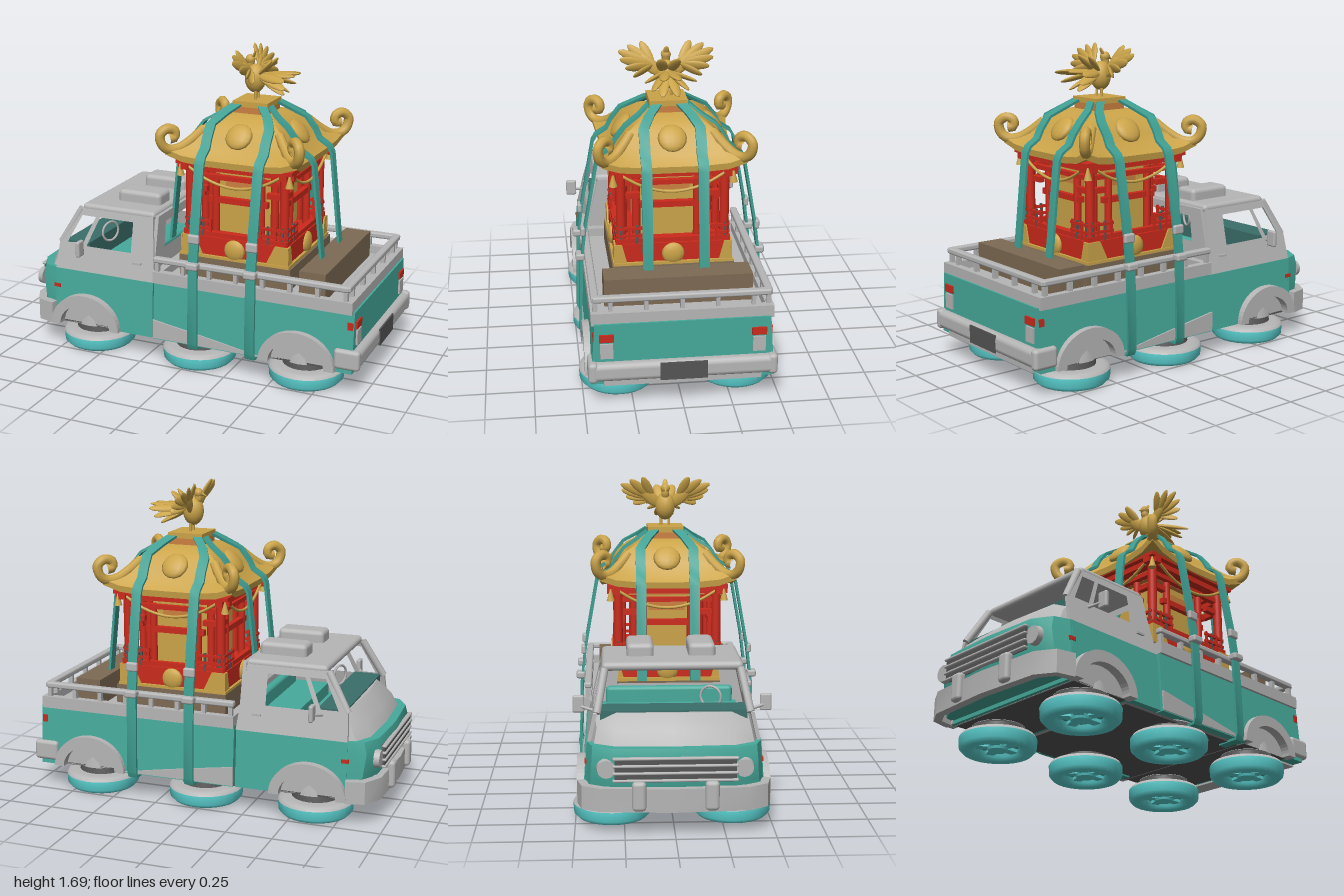
import * as THREE from 'three';
import { toCreasedNormals } from 'three/addons/utils/BufferGeometryUtils.js';
import { RoundedBoxGeometry } from 'three/addons/geometries/RoundedBoxGeometry.js';

const mat = (name, color) => Object.assign(new THREE.MeshStandardMaterial({ color }), { name });
const V = (x, y, z) => new THREE.Vector3(x, y, z);

export function createModel() {
  const gray = mat('bare metal', 0xb6b6b6), teal = mat('teal paint', 0x46aa9b), strapTeal = mat('strap teal', 0x3f9f92);
  const cyan = mat('cyan glow', 0x5fd8d8), gold = mat('gold', 0xcba449), red = mat('red lacquer', 0xcc2a1c);
  const brown = mat('brown wood', 0x7d6a53), dark = mat('dark metal', 0x555555), orange = mat('copper', 0xcc8040);
  const interior = mat('dark teal interior', 0x3b6f6a);
  const root = new THREE.Group();

  const group = (name, parent = root) => { const g = new THREE.Group(); g.name = name; parent.add(g); return g; };
  const add = (parent, name, geo, m, x = 0, y = 0, z = 0) => {
    const mesh = new THREE.Mesh(geo, m); mesh.name = name; mesh.position.set(x, y, z); parent.add(mesh); return mesh;
  };
  const box = (p, name, m, w, h, d, x, y, z) => add(p, name, new THREE.BoxGeometry(w, h, d), m, x, y, z);
  const rbox = (p, name, m, w, h, d, x, y, z, r = 0.02) => add(p, name, new RoundedBoxGeometry(w, h, d, 2, r), m, x, y, z);
  const cyl = (p, name, m, r0, r1, h, x, y, z) => add(p, name, new THREE.CylinderGeometry(r0, r1, h, 24), m, x, y, z);
  const tube = (p, name, m, pts, r, n = 20) => add(p, name, new THREE.TubeGeometry(new THREE.CatmullRomCurve3(pts), n, r, 8), m);
  // Aligns a geometry's y axis with the line from a to b
  const along = (p, name, m, geo, a, b) => {
    const mesh = add(p, name, geo, m);
    mesh.position.copy(a).add(b).multiplyScalar(0.5);
    mesh.quaternion.setFromUnitVectors(V(0, 1, 0), b.clone().sub(a).normalize());
    return mesh;
  };
  const bar = (p, name, m, a, b, r) => along(p, name, m, new THREE.CylinderGeometry(r, r, a.distanceTo(b), 10), a, b);
  const feather = (p, name, a, b, w) =>
    along(p, name, gold, new THREE.SphereGeometry(1, 10, 8).scale(w * 0.4, a.distanceTo(b) / 2, w), a, b);
  // Skin over equal-length closed rings, with end caps
  const loft = (rings, crease = 0.6) => {
    const n = rings[0].length, pts = rings.flat(), idx = [];
    for (let i = 0; i + 1 < rings.length; i++) for (let j = 0; j < n; j++) {
      const a = i * n + j, b = i * n + (j + 1) % n;
      idx.push(a, b, a + n, b, b + n, a + n);
    }
    [0, rings.length - 1].forEach((r, top) => {
      const c = V(0, 0, 0); rings[r].forEach(q => c.addScaledVector(q, 1 / n)); pts.push(c);
      for (let j = 0; j < n; j++) {
        const a = r * n + j, b = r * n + (j + 1) % n;
        idx.push(pts.length - 1, top ? a : b, top ? b : a);
      }
    });
    const g = new THREE.BufferGeometry().setFromPoints(pts); g.setIndex(idx);
    return toCreasedNormals(g, crease);
  };
  // Flat band swept along a path; w is the half-width vector, t the thickness
  const ribbon = (path, w, t) => loft(path.map((p, i) => {
    const T = path[Math.min(i + 1, path.length - 1)].clone().sub(path[Math.max(i - 1, 0)]);
    const N = T.cross(w).normalize().multiplyScalar(t / 2);
    return [[1, 1], [1, -1], [-1, -1], [-1, 1]].map(([a, b]) => p.clone().addScaledVector(N, a).addScaledVector(w, b));
  }));
  const poly = pts => new THREE.Shape(pts.map(([x, y]) => new THREE.Vector2(x, y)));
  const bend = (geo, f) => {
    const p = geo.attributes.position;
    for (let i = 0; i < p.count; i++) p.setXYZ(i, ...f(p.getX(i), p.getY(i), p.getZ(i)));
    geo.computeVertexNormals(); return geo;
  };
  const extrude = (shape, depth) => new THREE.ExtrudeGeometry(shape, { depth, bevelEnabled: false, curveSegments: 12 });

  // Lower body with wheel arches
  const truck = group('truck');
  const lower = (name, x0, x1, y1, ax, w) => {
    const s = new THREE.Shape(); s.moveTo(x0, 0.15); s.lineTo(ax - 0.18, 0.15);
    s.absellipse(ax, 0.15, 0.18, 0.16, Math.PI, 0, true);
    s.lineTo(x1, 0.15); s.lineTo(x1, y1); s.lineTo(x0, y1);
    add(truck, name, bend(extrude(s, 2), (x, y, z) => [x, y, (z - 1) * (w - (y - 0.15) * 0.07)]), teal);
  };
  lower('cabLowerBody', -0.8, -0.195, 0.46, -0.6, 0.46);
  lower('bedBody', -0.185, 0.95, 0.48, 0.65, 0.467);
  box(truck, 'doorGap', dark, 0.012, 0.28, 0.86, -0.19, 0.31, 0);
  box(truck, 'midUnderside', dark, 0.85, 0.02, 0.84, 0.02, 0.147, 0);
  box(truck, 'rearValance', gray, 0.11, 0.04, 0.8, 0.9, 0.16, 0);
  const noseRing = (y, xf, xb, w) => [[xb, -w], [xf + 0.07, -w * 0.93], [xf + 0.015, -w * 0.7], [xf, 0],
    [xf + 0.015, w * 0.7], [xf + 0.07, w * 0.93], [xb, w]].map(([x, z]) => V(x, y, z));
  add(truck, 'nose', loft([noseRing(0.17, -0.92, -0.79, 0.458), noseRing(0.28, -0.95, -0.79, 0.451),
    noseRing(0.4, -0.965, -0.79, 0.443), noseRing(0.46, -0.95, -0.79, 0.438)]), teal);
  add(truck, 'hood', loft([noseRing(0.46, -0.905, -0.7, 0.43), noseRing(0.53, -0.87, -0.7, 0.415), noseRing(0.6, -0.79, -0.7, 0.4)]), gray);

  // Grille
  box(truck, 'grille', dark, 0.02, 0.12, 0.6, -0.955, 0.36, 0);
  for (let i = 0; i < 4; i++) rbox(truck, 'grilleSlat', gray, 0.025, 0.014, 0.62, -0.962, 0.305 + i * 0.037, 0, 0.006);

  // Bumpers
  add(truck, 'frontBumper', ribbon([[-0.8, -0.465], [-0.89, -0.445], [-0.94, -0.36], [-0.96, 0], [-0.94, 0.36], [-0.89, 0.445], [-0.8, 0.465]]
    .map(([x, z]) => V(x, 0.205, z)), V(0, 0.06, 0), 0.045), gray);
  rbox(truck, 'rearBumper', gray, 0.13, 0.1, 0.94, 0.925, 0.225, 0, 0.03);
  box(truck, 'rearBumperStep', dark, 0.008, 0.095, 0.24, 0.99, 0.225, 0);

  for (const s of [-1, 1]) {
    rbox(truck, 'bumperGuard', gray, 0.05, 0.15, 0.07, -0.975, 0.23, s * 0.18);
    rbox(truck, 'bumperEnd', gray, 0.14, 0.11, 0.05, 0.92, 0.225, s * 0.455);
    const lamp = cyl(truck, 'headlamp', gray, 0.045, 0.05, 0.03, -0.94, 0.36, s * 0.34); lamp.rotation.z = Math.PI / 2;
    box(truck, 'frontMarker', red, 0.04, 0.02, 0.012, -0.79, 0.36, s * 0.443);
    box(truck, 'tailLamp', red, 0.05, 0.04, 0.075, 0.935, 0.405, s * 0.385);
    box(truck, 'tailLampSide', red, 0.03, 0.04, 0.012, 0.93, 0.405, s * 0.447);
    box(truck, 'reverseLamp', gray, 0.03, 0.08, 0.065, 0.945, 0.335, s * 0.385);
    box(truck, 'doorHandle', gray, 0.05, 0.012, 0.015, -0.3, 0.55, s * 0.42);
    // Sill wedge
    const sill = extrude(poly([[-0.185, 0.155], [0.46, 0.155], [0.2, 0.2], [-0.185, 0.26]]), 0.01);
    add(truck, 'sill', sill, gray, 0, 0, s * 0.466 - 0.005);
    // Wheel arch flares and wells
    for (const x of [-0.6, 0.65]) {
      const f = new THREE.Shape(); f.moveTo(-0.21, 0); f.absellipse(0, 0, 0.21, 0.185, Math.PI, 0, true);
      f.lineTo(0.155, 0); f.absellipse(0, 0, 0.155, 0.125, 0, Math.PI, false);
      add(truck, 'wheelArch', extrude(f, 0.06), gray, x, 0.15, s > 0 ? 0.43 : -0.49);
      const well = add(truck, 'wheelWell', new THREE.CylinderGeometry(0.178, 0.178, 0.44, 20, 1, false, Math.PI / 2, Math.PI), gray, x, 0.15, s * 0.22);
      well.rotation.x = Math.PI / 2; well.scale.z = 0.88;
      box(truck, 'wellFloor', dark, 0.35, 0.01, 0.44, x, 0.152, s * 0.22);
    }
    // Cab side with window opening
    const side = poly([[-0.8, 0.46], [-0.79, 0.6], [-0.68, 0.805], [-0.23, 0.815], [-0.19, 0.46]]);
    side.holes.push(poly([[-0.62, 0.6], [-0.55, 0.765], [-0.345, 0.765], [-0.345, 0.6]]));
    side.holes.push(poly([[-0.74, 0.61], [-0.66, 0.765], [-0.575, 0.765], [-0.645, 0.61]]));
    add(truck, 'cabSide', bend(extrude(side, 0.02), (x, y, z) => [x, y, s * 0.425 + z - 0.01 - s * (y - 0.46) * 0.22]), gray);
    bar(truck, 'windshieldPillar', gray, V(-0.785, 0.6, s * 0.385), V(-0.67, 0.8, s * 0.345), 0.02);
    // Mirror
    bar(truck, 'mirrorArm', gray, V(-0.66, 0.58, s * 0.39), V(-0.62, 0.6, s * 0.48), 0.008);
    rbox(truck, 'mirror', gray, 0.025, 0.09, 0.06, -0.62, 0.61, s * 0.48, 0.01);
    rbox(truck, 'roofBox', gray, 0.26, 0.09, 0.14, -0.38, 0.85, s * 0.16, 0.025);
  }

  // Cab roof, rear wall and interior
  rbox(truck, 'cabRoof', gray, 0.445, 0.045, 0.72, -0.4425, 0.808, 0, 0.022);
  const back = poly([[-0.425, 0.46], [-0.345, 0.81], [0.345, 0.81], [0.425, 0.46]]);
  back.holes.push(poly([[-0.28, 0.62], [-0.26, 0.76], [0.26, 0.76], [0.28, 0.62]]));
  add(truck, 'cabRearWall', extrude(back, 0.02), gray, -0.22).rotation.y = Math.PI / 2;
  box(truck, 'dashboard', interior, 0.15, 0.12, 0.74, -0.695, 0.548, 0);
  box(truck, 'seat', teal, 0.22, 0.07, 0.72, -0.36, 0.495, 0);
  rbox(truck, 'seatBack', teal, 0.05, 0.15, 0.68, -0.26, 0.54, 0);
  add(truck, 'steeringWheel', new THREE.TorusGeometry(0.055, 0.007, 6, 20), gray, -0.58, 0.63, 0.2).rotation.set(0, Math.PI / 2 - 0.4, 0);

  // Bed rim, floor, rails and cargo
  const rim = poly([[-0.185, -0.46], [0.94, -0.46], [0.94, 0.46], [-0.185, 0.46]]);
  rim.holes.push(poly([[-0.14, -0.42], [-0.14, 0.42], [0.9, 0.42], [0.9, -0.42]]));
  add(truck, 'bedRim', extrude(rim, 0.065), gray, 0, 0.535, 0).rotation.x = Math.PI / 2;
  box(truck, 'bedFloor', gray, 1.06, 0.01, 0.86, 0.38, 0.484, 0);
  for (const s of [-1, 1]) {
    rbox(truck, 'sideRail', gray, 1.1, 0.032, 0.04, 0.365, 0.6, s * 0.437, 0.01);
    for (let i = 0; i < 8; i++) box(truck, 'railPost', gray, 0.022, 0.06, 0.025, -0.165 + i * 0.152, 0.56, s * 0.437);
  }
  rbox(truck, 'rearRail', gray, 0.04, 0.032, 0.9, 0.905, 0.6, 0, 0.01);
  for (let i = 0; i < 5; i++) box(truck, 'railPost', gray, 0.025, 0.06, 0.02, 0.905, 0.56, -0.36 + i * 0.18);
  box(truck, 'crate', brown, 0.145, 0.15, 0.76, 0.695, 0.56, 0);
  box(truck, 'platform', brown, 0.64, 0.12, 0.64, 0.23, 0.545, 0);

  // Six hover units
  const lathe = pts => new THREE.LatheGeometry(pts.map(([x, y]) => new THREE.Vector2(x, y)), 28);
  const ringGeo = lathe([[0.11, 0.09], [0.115, 0.03], [0.14, 0.014], [0.18, 0.014], [0.2, 0.035], [0.203, 0.085]]);
  const coverGeo = lathe([[0.203, 0.085], [0.192, 0.102], [0.165, 0.108], [0.1, 0.108]]);
  for (const x of [-0.6, 0.025, 0.65]) for (const s of [-1, 1]) {
    const h = group('hoverUnit'); h.position.set(x, 0, s * 0.31);
    add(h, 'hoverRing', ringGeo, cyan);
    add(h, 'ringCover', coverGeo, gray);
    cyl(h, 'hub', dark, 0.118, 0.13, 0.05, 0, 0.13, 0);
    cyl(h, 'housing', gray, 0.12, 0.14, 0.12, 0, 0.205, 0);
    cyl(h, 'innerDisc', teal, 0.115, 0.115, 0.03, 0, 0.07, 0);
    cyl(h, 'hubCap', cyan, 0.065, 0.05, 0.04, 0, 0.045, 0);
    for (let i = 0; i < 5; i++) {
      const a = i * Math.PI * 0.4;
      box(h, 'spoke', cyan, 0.08, 0.025, 0.05, Math.cos(a) * 0.08, 0.05, -Math.sin(a) * 0.08).rotation.y = a;
    }
  }

  // Shrine core
  const shrine = group('shrine'); shrine.position.x = 0.225;
  box(shrine, 'base', red, 0.6, 0.12, 0.6, 0, 0.66, 0);
  box(shrine, 'baseTrim', gold, 0.63, 0.02, 0.63, 0, 0.61, 0);
  box(shrine, 'cell', gold, 0.36, 0.42, 0.36, 0, 0.92, 0);
  box(shrine, 'cellCornice', orange, 0.42, 0.05, 0.42, 0, 1.09, 0);
  box(shrine, 'ceiling', red, 0.66, 0.02, 0.66, 0, 1.128, 0);
  // Bell-shaped roof with lifted corners: height, half-width, edge bow, corner lift
  const roofRing = ([y, h, bow, lift]) => [0, 1, 2, 3].flatMap(k => [-1, -0.75, -0.4, 0, 0.4, 0.75].map(t =>
    V(t * h, y + lift * t ** 4, h * (1 - bow * (1 - t * t))).applyAxisAngle(V(0, 1, 0), k * Math.PI / 2)));
  add(shrine, 'roof', loft([[1.13, 0.3, 0, 0.02], [1.12, 0.37, 0.08, 0.05], [1.155, 0.375, 0.08, 0.05], [1.2, 0.305, 0.06, 0.02],
    [1.25, 0.265, 0.03, 0], [1.31, 0.22, 0, 0], [1.345, 0.165, 0, 0], [1.365, 0.12, 0, 0]].map(roofRing), 0.7), gold);
  box(shrine, 'roofNeck', orange, 0.19, 0.06, 0.19, 0, 1.375, 0);
  box(shrine, 'roofCap', gold, 0.2, 0.03, 0.2, 0, 1.415, 0);

  // Everything repeated on the four sides
  for (let k = 0; k < 4; k++) {
    const g = group('shrineSide', shrine); g.rotation.y = k * Math.PI / 2;
    const boss = (y, z, r, tilt) => { const b = add(g, 'boss', new THREE.SphereGeometry(r, 12, 8), gold, 0, y, z); b.scale.z = 0.4; b.rotation.x = tilt; };
    boss(0.66, 0.3, 0.06, 0); boss(1.275, 0.245, 0.075, -0.7);
    box(g, 'cellDoor', orange, 0.2, 0.05, 0.008, 0, 1.0, 0.183);
    box(g, 'eaveBeam', red, 0.66, 0.036, 0.04, 0, 1.105, 0.28);
    box(g, 'upperBeam', red, 0.56, 0.025, 0.03, 0, 1.05, 0.265);
    box(g, 'gateBeam', red, 0.34, 0.032, 0.03, 0, 0.92, 0.245);
    box(g, 'floorBeam', red, 0.6, 0.025, 0.03, 0, 0.735, 0.28);
    tube(g, 'cord', gold, [V(-0.31, 1.13, 0.31), V(-0.15, 1.04, 0.31), V(0, 1.01, 0.31), V(0.15, 1.04, 0.31), V(0.31, 1.13, 0.31)], 0.008);
    // Corner fittings are wide on the long sides, narrow on the others
    const fitWidth = k % 2 ? 0.07 : 0.13;
    for (const s of [-1, 1]) {
      const outer = s * 0.31, mid = s * (0.31 - fitWidth * 0.6), inner = s * (0.31 - fitWidth);
      const fit = [[outer, 0.61], [outer, 0.72], [mid, 0.72], [inner, 0.61]];
      add(g, 'baseCorner', extrude(poly(fit), 0.009), gold, 0, 0, 0.3);
      cyl(g, 'gatePost', red, 0.02, 0.02, 0.36, s * 0.13, 0.88, 0.245);
      box(g, 'bracket', red, 0.1, 0.03, 0.03, s * 0.22, 0.98, 0.262);
      for (const y of [0.765, 0.805]) box(g, 'railing', red, 0.15, 0.014, 0.016, s * 0.21, y, 0.29);
      for (let i = 0; i < 4; i++) box(g, 'baluster', i % 2 ? dark : red, 0.012, 0.1, 0.012, s * (0.145 + i * 0.042), 0.77, 0.29);
      // Tie-down straps; the long ones wrap under the truck
      const roofPart = [[1.14, 0.385, 1], [1.175, 0.365, 1], [1.21, 0.31, 1], [1.26, 0.285, 1], [1.325, 0.235, 1], [1.37, 0.16, 0.75], [1.41, 0.105, 0.45]];
      const foot = k % 2 ? [[0.63, 0.44, 1]]
        : [[0.135, 0.36, 1], [0.14, 0.475, 1], [0.17, 0.485, 1], [0.58, 0.475, 1], [0.78, 0.45, 1]];
      const path = [...foot, ...roofPart].map(([y, z, c]) => V(s * c * (k % 2 ? 0.145 : 0.165), y, z));
      add(g, 'strap', ribbon(path, V(0.027, 0, 0), 0.014), strapTeal);
      if (k % 2 === 0) {
        rbox(g, 'ratchet', gray, 0.065, 0.05, 0.025, s * 0.165, 0.755, 0.463, 0.01);
        rbox(g, 'strapHook', gray, 0.07, 0.04, 0.05, s * 0.165, 0.61, 0.48, 0.012);
      }
    }
    // Corner pillar, curled hip and tassel
    cyl(g, 'pillar', red, 0.025, 0.025, 0.4, 0.27, 0.92, 0.27);
    cyl(g, 'cellPost', red, 0.022, 0.022, 0.36, 0.182, 0.9, 0.182);
    const curl = [[0.3, 1.295], [0.37, 1.24], [0.44, 1.2], [0.5, 1.195], [0.54, 1.225], [0.55, 1.28], [0.51, 1.31], [0.47, 1.295], [0.47, 1.26], [0.5, 1.255]];
    tube(g, 'roofCurl', gold, curl.map(([d, y]) => V(d * 0.7071, y, d * 0.7071)), 0.027, 36);
    add(g, 'tassel', new THREE.ConeGeometry(0.022, 0.08, 10), gold, 0.31, 1.09, 0.31);
  }

  // Gilded bird on top
  const bird = group('bird', shrine);
  add(bird, 'body', new THREE.SphereGeometry(1, 14, 10), gold, -0.01, 1.54, 0).scale.set(0.058, 0.078, 0.056);
  tube(bird, 'neck', gold, [V(-0.02, 1.58, 0), V(-0.04, 1.61, 0), V(-0.035, 1.635, 0)], 0.022, 8);
  add(bird, 'head', new THREE.SphereGeometry(0.027, 10, 8), gold, -0.04, 1.64, 0);
  along(bird, 'beak', gold, new THREE.ConeGeometry(0.013, 0.05, 8), V(-0.055, 1.64, 0), V(-0.09, 1.62, 0));
  feather(bird, 'crest', V(-0.03, 1.64, 0), V(-0.01, 1.69, 0), 0.015);
  for (const s of [-1, 1]) {
    bar(bird, 'leg', gold, V(0, 1.425, s * 0.022), V(0, 1.5, s * 0.022), 0.008);
    feather(bird, 'wingArm', V(-0.01, 1.54, s * 0.03), V(-0.03, 1.64, s * 0.14), 0.035);
    for (const [x, y, z] of [[-0.07, 1.705, 0.13], [-0.06, 1.69, 0.2], [-0.04, 1.665, 0.25], [0, 1.63, 0.245], [0.03, 1.59, 0.22], [0.05, 1.55, 0.18]])
      feather(bird, 'wingFeather', V(-0.015, 1.59, s * 0.07), V(x, y, s * z), 0.026);
    for (const [x, y, z] of [[0.23, 1.575, 0.04], [0.2, 1.56, 0.13], [0.19, 1.51, 0.09], [0.17, 1.47, 0.04], [0.1, 1.65, 0.05]])
      feather(bird, 'tailFeather', V(0.01, 1.56, s * 0.01), V(x, y, s * z), 0.03);
  }
  return root;
}
